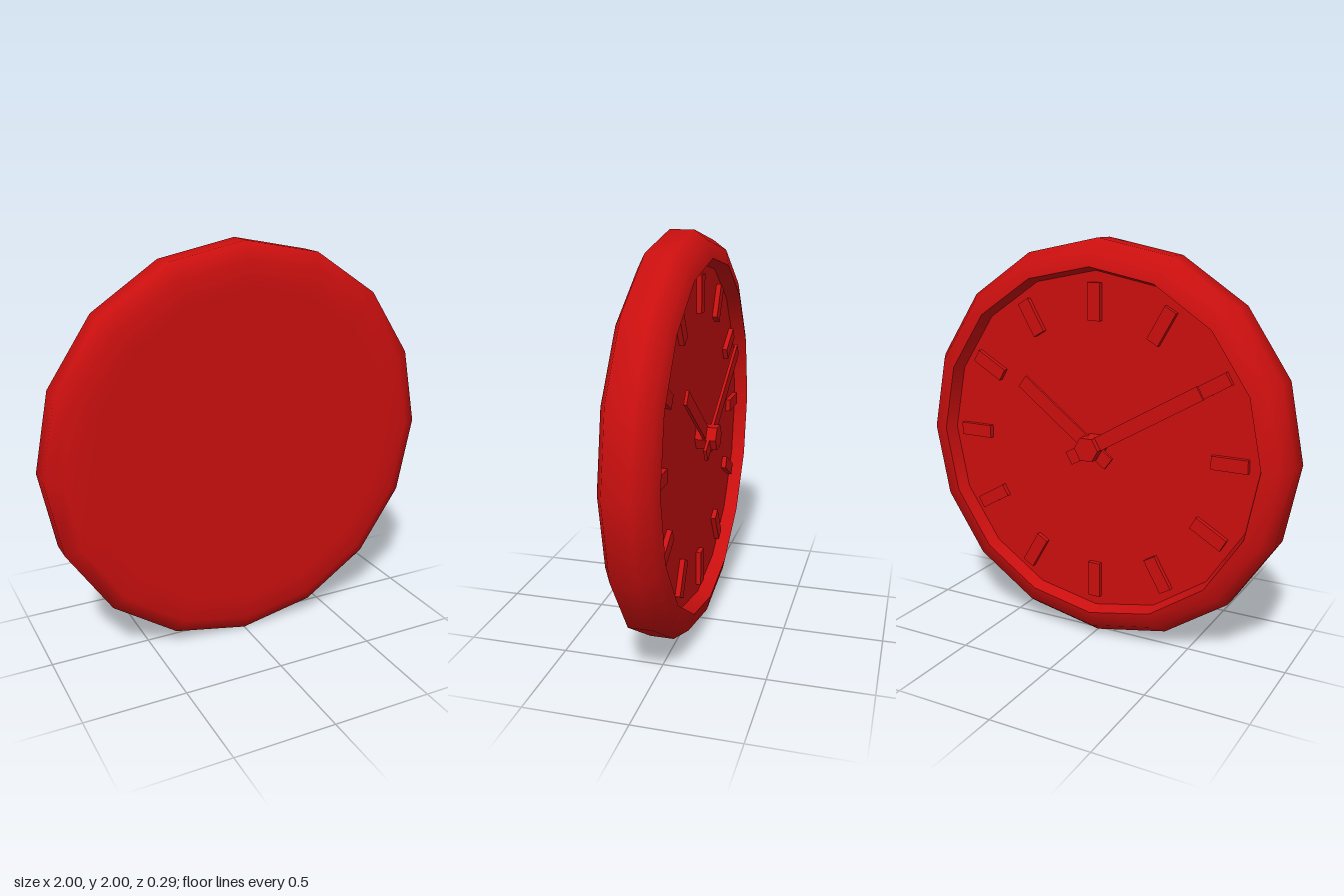
import * as THREE from 'three';

export function createModel() {
  const clock = new THREE.Group();
  clock.name = 'wallClock';
  const red = new THREE.MeshStandardMaterial({ color: 0xcc0f0f });
  red.name = 'red';

  const add = (name, geometry, parent = clock) => {
    const mesh = new THREE.Mesh(geometry, red);
    mesh.name = name;
    parent.add(mesh);
    return mesh;
  };

  // sixteen-sided turned part; the profile is [radius, z], running from the wall side to the dial side
  const turned = (name, profile) => {
    const points = profile.map(([r, z]) => new THREE.Vector2(r, -z));
    const mesh = add(name, new THREE.LatheGeometry(points, 16).rotateX(-Math.PI / 2));
    mesh.position.y = 1;
    return mesh;
  };

  // softly shaded case, then the crisp inner wall and dial
  turned('case', [[0, 0.145], [0.8, 0.145], [0.92, 0.145], [1, 0.1], [1, -0.02], [0.95, -0.09], [0.87, -0.11]]);
  turned('innerWall', [[0.87, -0.11], [0.85, -0.04]]);
  turned('dial', [[0.85, -0.04], [0, -0.04]]);

  // bar lying along a radius, between two radii and two depths
  const bar = (name, angle, from, to, width, zFront, zBack) => {
    const g = new THREE.BoxGeometry(to - from, width, zBack - zFront);
    g.translate((from + to) / 2, 0, (zFront + zBack) / 2);
    const mesh = add(name, g);
    mesh.rotation.z = angle;
    mesh.position.y = 1;
  };

  // hour markers
  for (let i = 0; i < 12; i++) {
    bar('hourMarker', (i * Math.PI) / 6, 0.615, 0.795, 0.065, -0.065, -0.035);
  }

  // hands, facing -z with their short tails past the hub
  const deg = Math.PI / 180;
  bar('hourHand', 37 * deg, -0.12, 0.49, 0.07, -0.095, -0.08);
  bar('minuteHand', 150 * deg, -0.13, 0.66, 0.07, -0.115, -0.1);

  // six-sided hub
  const hub = new THREE.CylinderGeometry(0.065, 0.065, 0.105, 6, 1, false, Math.PI / 2).toNonIndexed();
  hub.rotateX(-Math.PI / 2);
  hub.computeVertexNormals();
  const hubMesh = add('hub', hub);
  hubMesh.position.set(0, 1, -0.0925);

  return clock;
}
